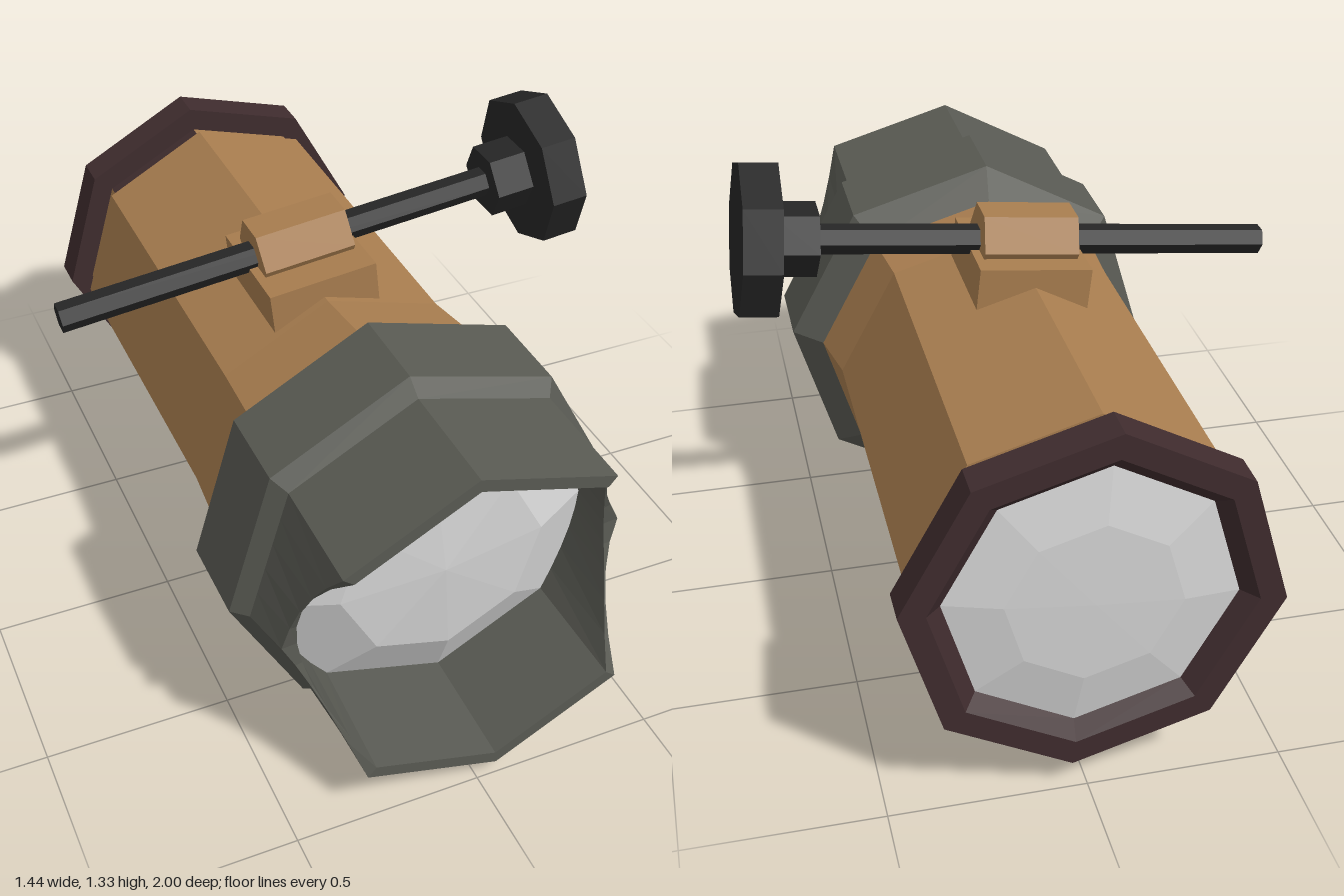
import * as THREE from 'three';

const TILT = THREE.MathUtils.degToRad(6);

const material = (name, color, side = THREE.FrontSide) => {
  const m = new THREE.MeshStandardMaterial({ color, flatShading: true, side });
  m.name = name;
  return m;
};

// Tilted octagon ring; a section is [radius, z, centre x, centre y]
const octagon = ([r, z, cx = 0, cy = 0.53]) =>
  Array.from({ length: 8 }, (_, k) => {
    const a = TILT + (k * Math.PI) / 4;
    return [cx + r * Math.cos(a), cy + r * Math.sin(a), z];
  });

// Joins successive rings of points with quads
function loft(rings) {
  const pos = [];
  for (let s = 0; s < rings.length - 1; s++) {
    const a = rings[s], b = rings[s + 1];
    for (let i = 0; i < a.length; i++) {
      const j = (i + 1) % a.length;
      pos.push(...a[i], ...a[j], ...b[j], ...a[i], ...b[j], ...b[i]);
    }
  }
  const g = new THREE.BufferGeometry();
  g.setAttribute('position', new THREE.Float32BufferAttribute(pos, 3));
  g.computeVertexNormals();
  return g;
}

// Directions round the hood: side edges are subdivided; d is the notch depth, 0 to 1
function hoodDirections() {
  const out = [], N = 5;
  const corner = k => [Math.cos(TILT + (k * Math.PI) / 4), Math.sin(TILT + (k * Math.PI) / 4)];
  for (let k = 0; k < 8; k++) {
    const leaving = k % 4 === 0, arriving = k % 4 === 3;
    const n = leaving || arriving ? N : 1;
    const p = corner(k), q = corner(k + 1);
    for (let i = 0; i < n; i++) {
      const f = i / n;
      const t = leaving ? f : arriving ? 1 - f : 1;
      out.push({ x: p[0] + (q[0] - p[0]) * f, y: p[1] + (q[1] - p[1]) * f, d: 1 - t * t });
    }
  }
  return out;
}

export function createModel() {
  const brass = material('brass', 0xa87d4f);
  const grey = material('hood grey', 0x595a53, THREE.DoubleSide);
  const maroon = material('dark maroon', 0x3f2c2e);
  const black = material('black', 0x262626);
  const glass = material('pale glass', 0xd4d4d4);

  const model = new THREE.Group();
  const add = (name, geometry, mat, parent = model) => {
    const mesh = new THREE.Mesh(geometry, mat);
    mesh.name = name;
    parent.add(mesh);
    return mesh;
  };

  // Main tube, flaring slightly towards the hood
  add('tube', loft([
    [0.40, -0.84, -0.01, 0.543], [0.432, -0.84, -0.01, 0.541],
    [0.432, 0.15, -0.01, 0.538], [0.453, 0.33, 0, 0.53],
  ].map(octagon)), brass);

  // Narrow neck with one dark facet
  const neck = loft([[0.405, -0.91, -0.01, 0.543], [0.405, -0.835, -0.01, 0.543]].map(octagon));
  neck.addGroup(0, 12, 0);
  neck.addGroup(12, 6, 1);
  neck.addGroup(18, 30, 0);
  add('neck', neck, [brass, maroon]);

  // Rear ring and its lens
  add('rearRing', loft([
    [0.365, -0.96], [0.405, -1], [0.472, -1], [0.472, -0.905], [0.39, -0.905],
  ].map(([r, z]) => octagon([r, z, -0.01, 0.545]))), maroon);
  add('rearLens', loft([[0, -0.99], [0.22, -0.985], [0.375, -0.958]]
    .map(([r, z]) => octagon([r, z, -0.01, 0.545]))), glass);

  // Hood with a curved notch on each side
  const dirs = hoodDirections();
  const outer = (r, z) => dirs.map(p => [r * p.x, 0.53 + r * p.y, z]);
  const inner = (r, taper, z, notch) => dirs.map(p => {
    const s = (r - taper * p.d) / Math.hypot(p.x, p.y);
    return [s * p.x, 0.53 + s * p.y, z - notch * p.d];
  });
  const rim = dirs.map(p => {
    const r = 0.493 * (1 - 0.06 * p.d);
    return [r * p.x, 0.53 + r * p.y, 1 - 0.185 * p.d];
  });
  add('hood', loft([
    outer(0.452, 0.33), outer(0.533, 0.40), outer(0.533, 0.64), outer(0.493, 0.68),
    rim, inner(0.458, 0.035, 1, 0.185), inner(0.445, 0.015, 0.64, 0),
  ]), grey);

  // Domed front lens set inside the hood
  add('frontLens', loft([[0.47, 0.66], [0.28, 0.75], [0, 0.77]].map(octagon)), glass);

  // Focus mount on top, tilted with the tube
  const mount = add('mountBase', new THREE.BoxGeometry(0.3, 0.16, 0.33), brass);
  mount.position.set(-0.05, 0.94, -0.035);
  mount.rotation.z = TILT;

  // Focus rod: clamp, rod, collar and knob on one axis
  const focus = new THREE.Group();
  focus.name = 'focusControl';
  focus.position.set(-0.06, 1.038, -0.047);
  focus.rotation.z = TILT;
  model.add(focus);
  [
    ['clamp', 0.097, -0.127, 0.127, 6, brass],
    ['rod', 0.04, -0.665, 0.6, 6, black],
    ['collar', 0.098, 0.555, 0.67, 6, black],
    ['knob', 0.21, 0.66, 0.76, 8, black],
  ].forEach(([name, r, x0, x1, sides, mat]) => {
    const g = new THREE.CylinderGeometry(r, r, x1 - x0, sides).rotateZ(Math.PI / 2);
    add(name, g.translate((x0 + x1) / 2, 0, 0), mat, focus);
  });

  return model;
}
